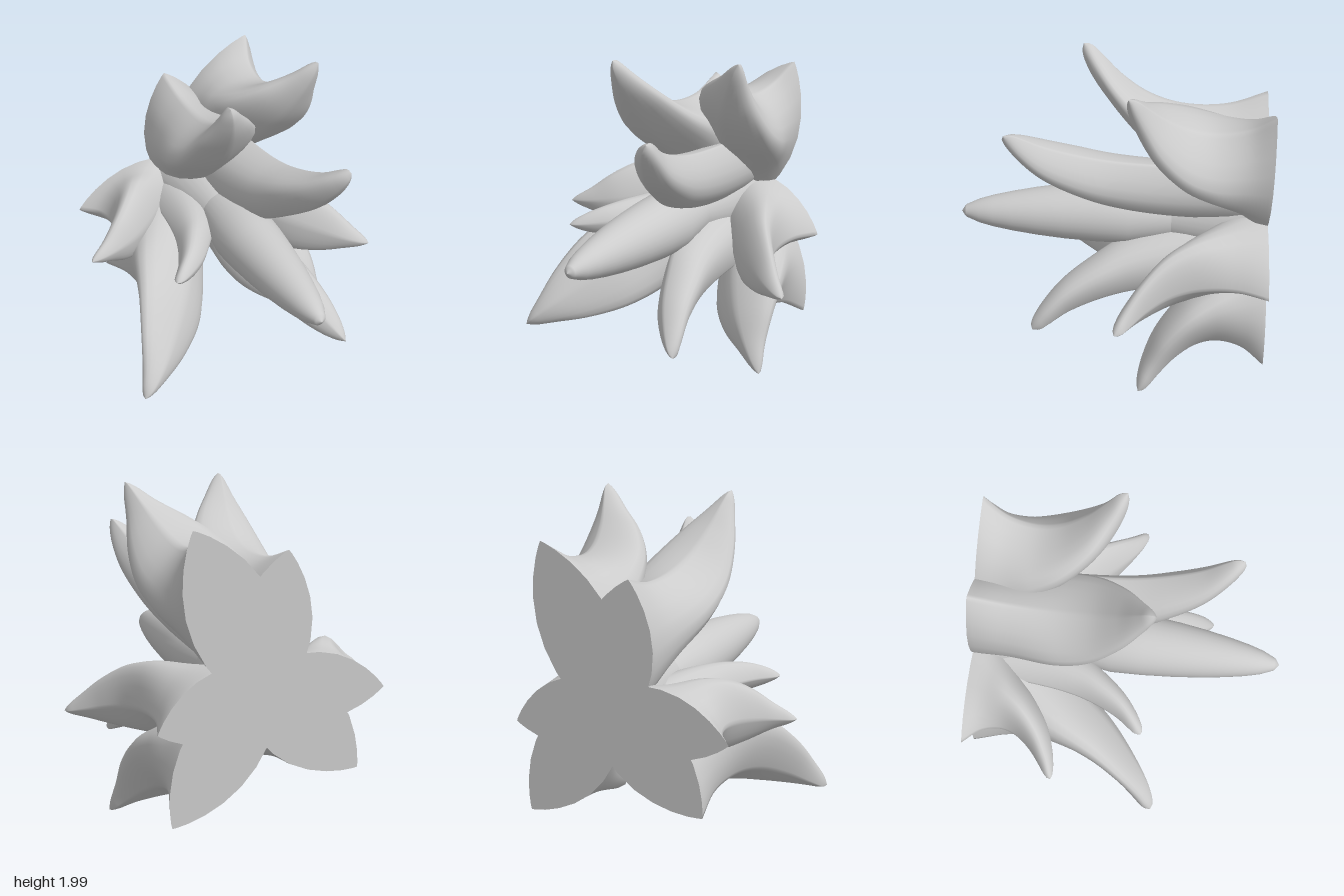
import * as THREE from 'three';

const BACK = -0.94;          // flat cut plane
const CX = 0.02, CY = 0.91;  // flower axis
const material = new THREE.MeshStandardMaterial({ color: 0xcccccc, side: THREE.DoubleSide });

// Petal families. Stations run from the cut to the tip:
// [inner r, inner z, outer r, outer z, half width]
const rings = [
  {
    name: 'innerPetal', tip: [0.82, 0.63],
    stations: [
      [0.00, -0.94, 0.50, -0.94, 0.16], [0.05, -0.37, 0.51, -0.40, 0.165],
      [0.17, 0.00, 0.55, -0.05, 0.165], [0.31, 0.22, 0.61, 0.17, 0.16],
      [0.47, 0.42, 0.70, 0.38, 0.13], [0.64, 0.56, 0.78, 0.50, 0.08], [0.80, 0.65, 0.84, 0.59, 0.015],
    ],
    // [angle in degrees, tip radius, tip z]
    petals: [[65.6, 0.82, 0.64], [185, 0.57, 0.16], [306, 0.74, 0.505]],
  },
  {
    name: 'middlePetal', tip: [1.14, 0.27],
    stations: [
      [-0.20, -0.94, 0.83, -0.94, 0.255], [0.08, -0.65, 0.75, -0.68, 0.265],
      [0.36, -0.31, 0.75, -0.38, 0.295], [0.54, -0.10, 0.82, -0.16, 0.27],
      [0.76, 0.09, 0.94, 0.01, 0.19], [0.95, 0.22, 1.06, 0.13, 0.095], [1.12, 0.29, 1.16, 0.23, 0.018],
    ],
    petals: [[101, 1.09, 0.18], [222, 1.15, 0.275], [342, 0.93, -0.01]],
  },
  {
    name: 'outerPetal', tip: [1.2, -0.09],
    stations: [
      [-0.15, -0.94, 1.02, -0.94, 0.265], [0.16, -0.76, 0.90, -0.79, 0.275],
      [0.38, -0.57, 0.86, -0.62, 0.30], [0.57, -0.37, 0.89, -0.48, 0.285],
      [0.77, -0.21, 0.98, -0.34, 0.21], [0.97, -0.12, 1.09, -0.23, 0.105], [1.18, -0.07, 1.22, -0.12, 0.018],
    ],
    petals: [[65, 1.2, -0.09], [186, 0.93, -0.35], [306, 1.12, -0.16]],
  },
];

// Closed petal lofted between its inner and outer ridge curves
function petalGeometry(ring, [degrees, tipR, tipZ]) {
  const SEG = 40, SIDES = 24;
  const angle = THREE.MathUtils.degToRad(degrees);
  const c = Math.cos(angle), s = Math.sin(angle);
  const sr = tipR / ring.tip[0];
  const sz = (tipZ - BACK) / (ring.tip[1] - BACK);
  const inner = new THREE.CatmullRomCurve3(ring.stations.map(p => new THREE.Vector3(p[0], p[1], p[4])));
  const outer = new THREE.CatmullRomCurve3(ring.stations.map(p => new THREE.Vector3(p[2], p[3], 0)));
  const positions = [], index = [];

  const addPoint = (r, z, side) => positions.push(
    CX + (r * c - side * s) * sr,
    CY + (r * s + side * c) * sr,
    BACK + (z - BACK) * sz);

  const addRing = (t) => {
    const a = inner.getPoint(t), b = outer.getPoint(t);
    const close = Math.sqrt(1 - Math.max(0, (t - 0.92) / 0.08) ** 2); // rounds off the tip
    for (let j = 0; j < SIDES; j++) {
      const phi = j / SIDES * Math.PI * 2;
      const u = Math.cos(phi), v = Math.sin(phi);
      const power = u > 0 ? 1.8 : 1.45; // keel on the outside, softer ridge inside
      const side = Math.sign(v) * Math.pow(Math.abs(v), power) * a.z * close;
      const k = (1 + u * close) / 2;
      addPoint(a.x + (b.x - a.x) * k, a.y + (b.y - a.y) * k, side);
    }
  };

  for (let i = 0; i <= SEG; i++) addRing(i / SEG);
  for (let i = 0; i < SEG; i++) {
    for (let j = 0; j < SIDES; j++) {
      const k = (j + 1) % SIDES;
      const p = i * SIDES + j, q = i * SIDES + k;
      index.push(p, q, q + SIDES, p, q + SIDES, p + SIDES);
    }
  }
  // Flat back cap on its own vertices, so its edge stays sharp
  const cap = positions.length / 3;
  addRing(0);
  const [base] = ring.stations;
  addPoint((base[0] + base[2]) / 2, BACK, 0);
  for (let j = 0; j < SIDES; j++) index.push(cap + SIDES, cap + (j + 1) % SIDES, cap + j);

  const geometry = new THREE.BufferGeometry();
  geometry.setAttribute('position', new THREE.Float32BufferAttribute(positions, 3));
  geometry.setIndex(index);
  geometry.computeVertexNormals();
  return geometry;
}

export function createModel() {
  const group = new THREE.Group();
  group.name = 'flower';

  for (const ring of rings) {
    ring.petals.forEach((petal, i) => {
      const mesh = new THREE.Mesh(petalGeometry(ring, petal), material);
      mesh.name = ring.name + (i + 1);
      group.add(mesh);
    });
  }

  // Solid core joining the petals at the cut
  const coreLength = 0.6;
  const core = new THREE.Mesh(new THREE.CylinderGeometry(0.16, 0.31, coreLength, 32), material);
  core.name = 'core';
  core.rotation.x = Math.PI / 2;
  core.position.set(CX, CY, BACK + coreLength / 2);
  group.add(core);

  // Central bud, rooted inside the core: [radius, z]
  const profile = [
    [0.155, -0.45], [0.2, -0.1], [0.19, 0.1], [0.172, 0.3], [0.15, 0.47],
    [0.125, 0.62], [0.1, 0.74], [0.075, 0.83], [0.04, 0.91], [0.03, 0.92], [0, 0.94],
  ].map(([r, z]) => new THREE.Vector2(r, z));
  const bud = new THREE.Mesh(new THREE.LatheGeometry(profile, 32), material);
  bud.name = 'centralBud';
  bud.rotation.x = Math.PI / 2;
  bud.position.set(CX, CY, 0);
  group.add(bud);

  return group;
}
